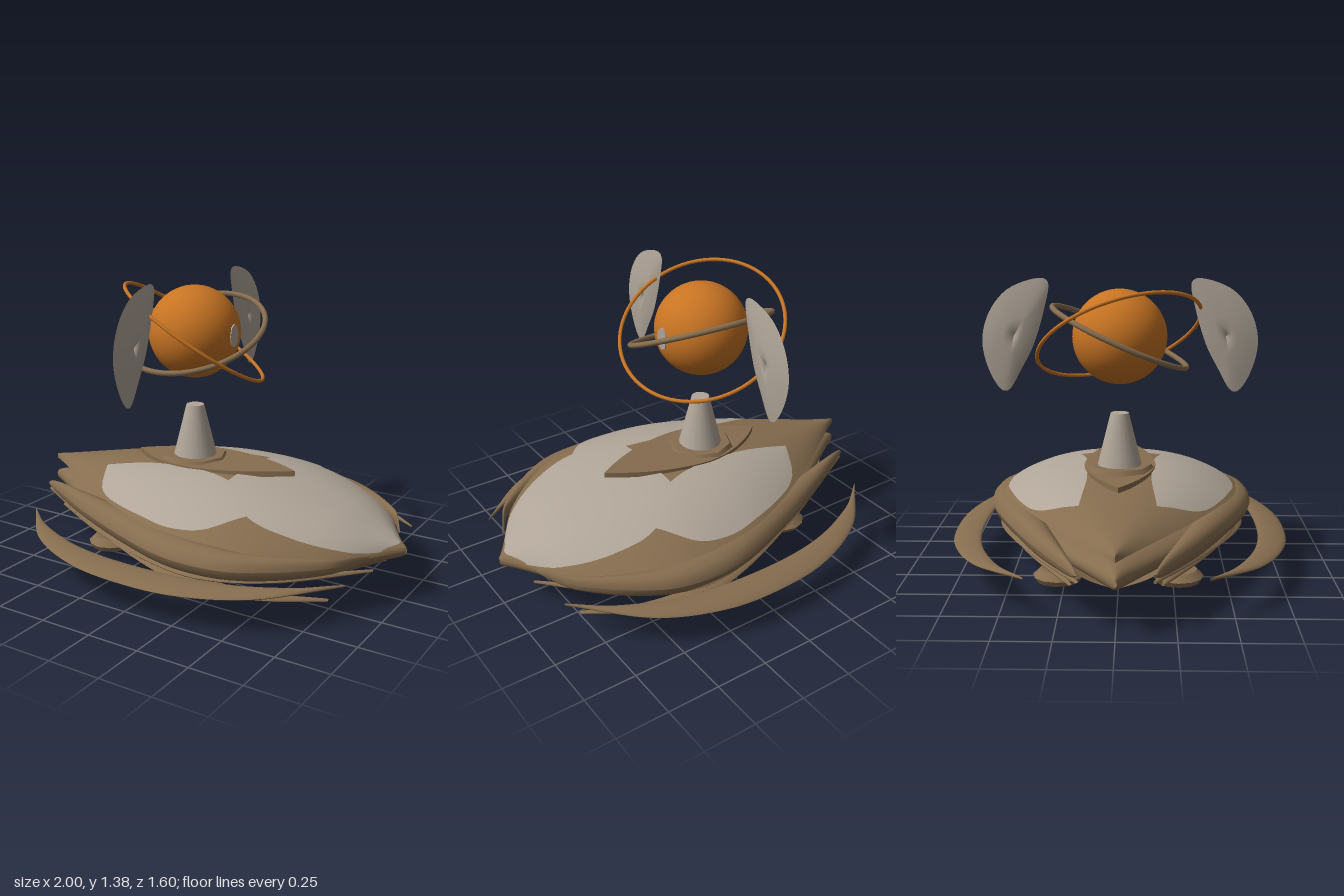
import * as THREE from 'three';

const material = (name, color) => {
  const m = new THREE.MeshStandardMaterial({ color, side: THREE.DoubleSide });
  m.name = name;
  return m;
};

// Smooth curve y(x) through a few [x, y] points
function curve(points) {
  const n = points.length;
  const slope = i => {
    const a = points[Math.max(i - 1, 0)], b = points[Math.min(i + 1, n - 1)];
    return (b[1] - a[1]) / (b[0] - a[0]);
  };
  return x => {
    let i = 0;
    while (i < n - 2 && x > points[i + 1][0]) i++;
    const [x0, y0] = points[i], [x1, y1] = points[i + 1], d = x1 - x0;
    const t = Math.min(Math.max((x - x0) / d, 0), 1), t2 = t * t, t3 = t2 * t;
    return y0 * (2 * t3 - 3 * t2 + 1) + slope(i) * d * (t3 - 2 * t2 + t)
      + y1 * (3 * t2 - 2 * t3) + slope(i + 1) * d * (t3 - t2);
  };
}

// Surface from a rule fn(u, v) -> [x, y, z]
function surface(nu, nv, fn) {
  const pos = [], idx = [];
  for (let i = 0; i <= nu; i++) {
    for (let j = 0; j <= nv; j++) {
      pos.push(...fn(i / nu, j / nv));
      if (i < nu && j < nv) {
        const a = i * (nv + 1) + j, b = a + nv + 1;
        idx.push(a, a + 1, b, b, a + 1, b + 1);
      }
    }
  }
  const g = new THREE.BufferGeometry();
  g.setAttribute('position', new THREE.Float32BufferAttribute(pos, 3));
  g.setIndex(idx);
  g.computeVertexNormals();
  return g;
}

const lerp = THREE.MathUtils.lerp;
// Samples gathered towards both pointed ends
const along = (a, b, u) => lerp(a, b, 0.5 - 0.5 * Math.cos(Math.PI * u));

export function createModel() {
  const brown = material('bronze brown', 0x866d4f);
  const grey = material('warm grey', 0xb0a598);
  const orange = material('burnt orange', 0xc87423);
  const model = new THREE.Group();
  const add = (name, geometry, mat, x = 0, y = 0, z = 0) => {
    const mesh = new THREE.Mesh(geometry, mat);
    mesh.name = name;
    mesh.position.set(x, y, z);
    model.add(mesh);
    return mesh;
  };

  // Upper shell: leaf outline with a domed cross-section
  const width = curve([[-1, 0], [-0.92, 0.05], [-0.5, 0.33], [-0.1, 0.53], [0.2, 0.58],
    [0.4, 0.56], [0.6, 0.47], [0.8, 0.3], [0.95, 0.07], [1, 0]]);
  const crest = curve([[-1, 0.355], [-0.5, 0.44], [-0.15, 0.485], [0.15, 0.49], [0.4, 0.46],
    [0.7, 0.385], [0.9, 0.3], [1, 0.25]]);
  const edge = curve([[-1, 0.33], [-0.4, 0.345], [0.1, 0.335], [0.4, 0.32], [0.7, 0.28], [1, 0.235]]);
  const shellY = (x, z) => {
    const s = Math.min(Math.abs(z) / Math.max(width(x), 1e-4), 1);
    return lerp(crest(x), edge(x), s ** 2.5);
  };
  add('upperShell', surface(60, 32, (u, v) => {
    const x = along(-1, 1, u), z = width(x) * Math.sin((v - 0.5) * Math.PI);
    return [x, shellY(x, z), z];
  }), brown);
  add('upperShellUnderside', surface(40, 8, (u, v) => {
    const x = along(-1, 1, u);
    return [x, edge(x), width(x) * (2 * v - 1)];
  }), brown);

  // Pale plates lying on the upper shell
  const noseWidth = curve([[0.2, 0.2], [0.4, 0.385], [0.62, 0.37], [0.82, 0.25], [0.95, 0.07], [1, 0]]);
  add('nosePlate', surface(40, 24, (u, v) => {
    const x = lerp(0.2, 1, u), z = Math.min(noseWidth(x), width(x)) * (2 * v - 1);
    return [x, shellY(x, z) + 0.007, z];
  }), grey);
  const plateIn = curve([[-0.52, 0.17], [-0.2, 0.15], [0.2, 0.2], [0.41, 0.38]]);
  const plateOut = curve([[-0.52, 0.18], [-0.43, 0.34], [-0.26, 0.45], [0, 0.54], [0.14, 0.555],
    [0.28, 0.52], [0.41, 0.38]]);

  // Lens-shaped middle hull, x pointed at both ends
  add('middleHull', surface(50, 32, (u, v) => {
    const x = along(-1, 1, u), a = v * Math.PI * 2, w = width(x) * 0.98;
    const t = 0.012 + 0.085 * Math.sqrt(Math.max(1 - x * x, 0));
    return [x, 0.24 + t * Math.sin(a), (w + 0.008) * Math.cos(a)];
  }), brown);

  // Lower bowl
  const bowlWidth = curve([[-0.92, 0], [-0.8, 0.13], [-0.4, 0.38], [0, 0.54], [0.25, 0.575],
    [0.5, 0.5], [0.75, 0.3], [0.91, 0]]);
  const keel = curve([[-0.92, 0.2], [-0.5, 0.085], [0, 0.02], [0.25, 0], [0.5, 0.022], [0.91, 0.17]]);
  add('lowerBowl', surface(50, 28, (u, v) => {
    const x = along(-0.92, 0.91, u), s = Math.sin((v - 0.5) * Math.PI);
    return [x, lerp(keel(x), 0.19, Math.abs(s) ** 1.8), bowlWidth(x) * s];
  }), brown);

  // Crescent strip between an inner and an outer edge, lying along one flank
  const crescent = (x0, x1, inner, outer, height, thick, lean, side) => surface(48, 14, (u, v) => {
    const x = along(x0, x1, u), a = v * Math.PI * 2;
    const zi = inner(x), zo = outer(x), half = (zo - zi) / 2;
    const t = 0.004 + thick * Math.sin(Math.PI * u);
    return [x, height(x) + t * Math.sin(a) - lean * half * Math.cos(a),
      side * ((zi + zo) / 2 + half * Math.cos(a))];
  });
  const bladeOut = curve([[-0.82, 0.39], [-0.6, 0.62], [-0.3, 0.76], [0, 0.8], [0.3, 0.775],
    [0.6, 0.65], [0.88, 0.39]]);
  const bladeIn = curve([[-0.82, 0.385], [-0.65, 0.51], [-0.35, 0.625], [0, 0.66], [0.4, 0.625],
    [0.7, 0.51], [0.88, 0.385]]);
  const bladeY = x => 0.17 + 0.16 * (0.73 - (bladeOut(x) + bladeIn(x)) / 2) * 0.5;
  const strakeOut = curve([[-0.92, 0.17], [-0.5, 0.4], [0, 0.61], [0.25, 0.655], [0.5, 0.605],
    [0.8, 0.37], [0.9, 0.18]]);
  const slatOut = curve([[-0.92, 0.165], [-0.5, 0.37], [0, 0.57], [0.3, 0.62], [0.55, 0.55], [0.8, 0.38]]);
  const railOut = curve([[-0.8, 0.2], [-0.4, 0.41], [0, 0.56], [0.3, 0.6], [0.6, 0.47], [0.91, 0.165]]);
  const inset = (fn, x0, x1, d) => x => fn(x) - 0.015 - d * Math.sin(Math.PI * (x - x0) / (x1 - x0));

  // Floating shield outline as [z, y]
  const rim = new THREE.CatmullRomCurve3([[0.395, 1.38], [0.345, 1.38], [0.328, 1.36], [0.347, 1.247],
    [0.4, 1.075], [0.455, 0.968], [0.52, 0.863], [0.55, 0.863], [0.605, 0.946], [0.638, 1.09],
    [0.605, 1.225], [0.52, 1.33]].map(([z, y]) => new THREE.Vector3(-0.11, y, z)), true, 'centripetal');

  for (const [label, side] of [['left', 1], ['right', -1]]) {
    add(label + 'SidePlate', surface(30, 12, (u, v) => {
      const x = lerp(-0.52, 0.41, u), z = lerp(plateIn(x), Math.max(plateOut(x), plateIn(x)), v);
      return [x, shellY(x, z) + 0.006, side * z];
    }), grey);
    add(label + 'OuterBlade', crescent(-0.82, 0.88, bladeIn, bladeOut, bladeY, 0.011, 0.16, side), brown);
    add(label + 'Strake', crescent(-0.92, 0.9, inset(strakeOut, -0.92, 0.9, 0.17), strakeOut,
      () => 0.25, 0.066, 0, side), brown);
    add(label + 'LowerSlat', crescent(-0.92, 0.8, inset(slatOut, -0.92, 0.8, 0.08), slatOut,
      x => lerp(0.22, 0.105, (x + 0.92) / 1.72), 0.008, 0.3, side), brown);
    add(label + 'LowerRail', crescent(-0.8, 0.91, inset(railOut, -0.8, 0.91, 0.08), railOut,
      x => lerp(0.165, 0.185, (x + 0.8) / 1.71), 0.01, 0.2, side), brown);

    // Round thruster with a glowing underside
    add(label + 'Thruster', new THREE.CylinderGeometry(0.085, 0.115, 0.03, 12), brown, -0.43, 0.09, side * 0.27);
    add(label + 'ThrusterRim', new THREE.CylinderGeometry(0.115, 0.1, 0.025, 12), brown, -0.43, 0.063, side * 0.27);
    add(label + 'ThrusterGlow', new THREE.CylinderGeometry(0.075, 0.075, 0.006, 12), orange, -0.43, 0.049, side * 0.27);

    // Lens-shaped floating shield, both faces
    add(label + 'Shield', surface(60, 12, (u, v) => {
      const p = rim.getPoint(u % 1), r = 1 - 2 * v, k = Math.abs(r);
      const bulge = Math.sign(r) * 0.02 * (1 - k * k);
      return [-0.11 + bulge, lerp(1.12, p.y, k), side * lerp(0.49, p.z, k)];
    }), grey);
  }

  // Raised deck leaf and pedestal
  const leaf = new THREE.Shape();
  leaf.moveTo(-0.44, 0);
  leaf.quadraticCurveTo(-0.25, 0.16, -0.05, 0.17);
  leaf.quadraticCurveTo(0.2, 0.16, 0.44, 0);
  leaf.quadraticCurveTo(0.2, -0.16, -0.05, -0.17);
  leaf.quadraticCurveTo(-0.25, -0.16, -0.44, 0);
  const deck = add('deckLeaf', new THREE.ExtrudeGeometry(leaf,
    { depth: 0.025, bevelEnabled: false, curveSegments: 12 }), brown, 0, 0.472, 0);
  deck.rotation.set(-Math.PI / 2, -0.035, 0);
  add('pedestalBase', new THREE.CylinderGeometry(0.15, 0.17, 0.03, 8), brown, -0.11, 0.495, 0);
  add('pedestal', new THREE.CylinderGeometry(0.043, 0.105, 0.25, 20), grey, -0.11, 0.632, 0);

  // Floating orb with its eye and two tilted rings
  add('orb', new THREE.SphereGeometry(0.22, 40, 28), orange, -0.11, 1.115, 0);
  const eye = add('orbEye', new THREE.CylinderGeometry(0.055, 0.055, 0.009, 8), grey, 0.106, 1.115, 0);
  eye.rotation.z = Math.PI / 2;
  eye.scale.z = 0.65;
  const ring = (name, radius, tube, mat, normal) => {
    const mesh = add(name, new THREE.TorusGeometry(radius, tube, 8, 72), mat, -0.11, 1.115, 0);
    mesh.quaternion.setFromUnitVectors(new THREE.Vector3(0, 0, 1), new THREE.Vector3(...normal).normalize());
  };
  ring('brownRing', 0.34, 0.013, brown, [0, 0.91, 0.41]);
  ring('orangeRing', 0.395, 0.009, orange, [0.481, 0.826, -0.294]);

  return model;
}
